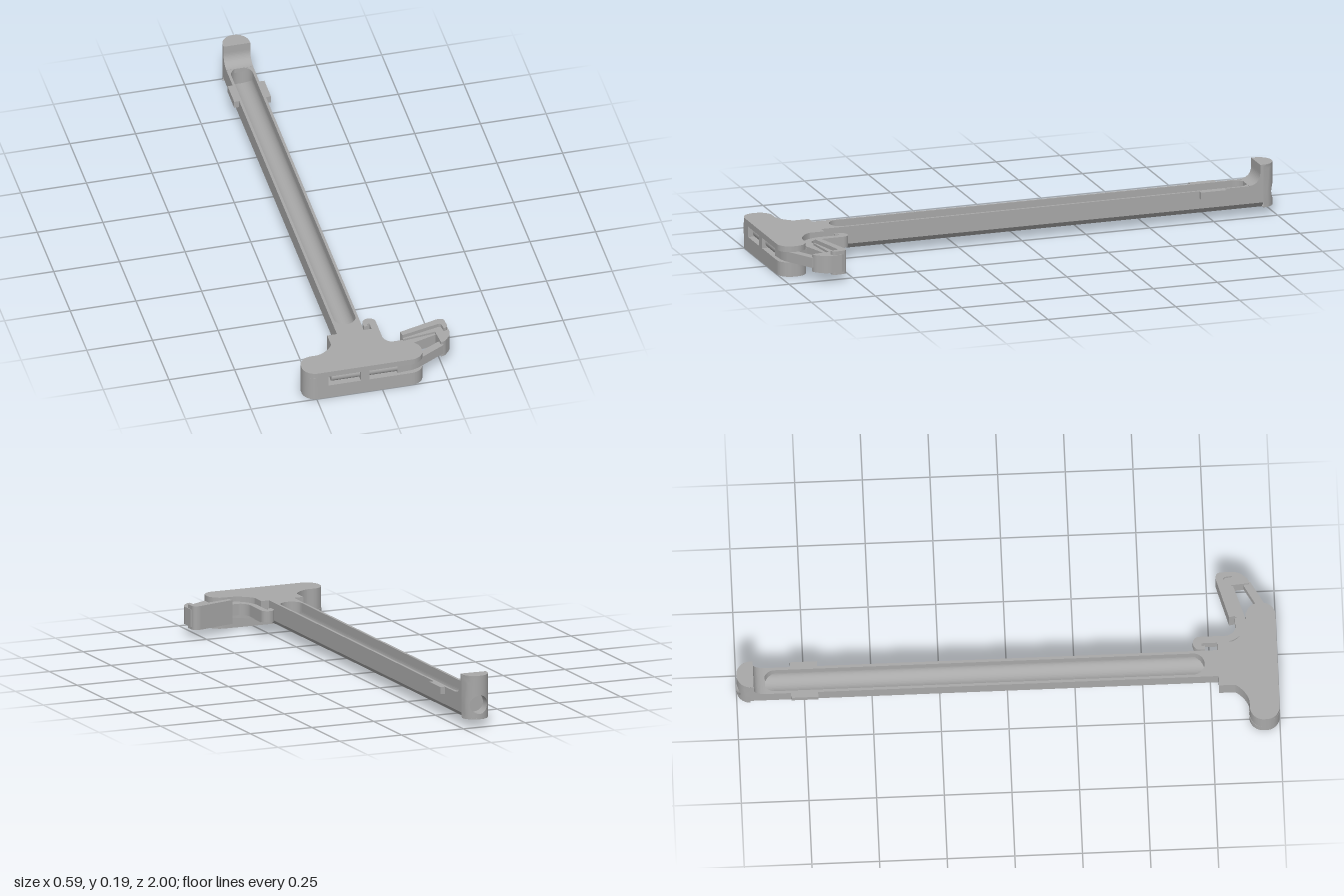
import * as THREE from 'three';

const CX = -0.067, HW = 0.051;          // shaft centre line and half width
const steel = new THREE.MeshStandardMaterial({ color: 0xa8a8a8, side: THREE.DoubleSide });
steel.name = 'grey metal';

// Closed outline from [x, y, cornerRadius] points
function rounded(pts) {
  const s = new THREE.Shape(), n = pts.length;
  pts.forEach(([x, y, r = 0], i) => {
    const toward = (q, d) => {
      const l = Math.hypot(q[0] - x, q[1] - y), t = Math.min(d, l * 0.5) / l;
      return [x + (q[0] - x) * t, y + (q[1] - y) * t];
    };
    const prev = pts[(i + n - 1) % n], next = pts[(i + 1) % n];
    const a = toward(prev, r), b = toward(next, r);
    if (i) s.lineTo(...a); else s.moveTo(...a);
    if (r) s.bezierCurveTo(...toward(prev, r * 0.45), ...toward(next, r * 0.45), ...b);
  });
  s.closePath();
  return s;
}
const extrude = (shape, depth) =>
  new THREE.ExtrudeGeometry(shape, { depth, bevelEnabled: false, curveSegments: 14 });

// Plan outline in [x, z, radius], raised from y0 to y1
const plan = (pts, y0, y1) =>
  extrude(rounded(pts.map(([x, z, r]) => [x, -z, r])), y1 - y0).rotateX(-Math.PI / 2).translate(0, y0, 0);

export function createModel() {
  const model = new THREE.Group();
  const add = (name, geometry) => {
    const m = new THREE.Mesh(geometry, steel);
    m.name = name;
    model.add(m);
    return m;
  };

  // Shaft: chamfered bar, with a round-bottomed trough along the middle stretch
  const R = 0.041, T0 = -0.9, T1 = 0.73, top = 0.117, low = 0.03;
  const lower = [[-HW, 0.05], [-HW + 0.018, low], [HW - 0.018, low], [HW, 0.05], [HW, top]];
  const section = trough => {
    const s = new THREE.Shape();
    [[-HW, top], ...lower].forEach(([x, y], i) => (i ? s.lineTo(x, y) : s.moveTo(x, y)));
    if (trough) {
      s.lineTo(R, top);
      s.lineTo(R, 0.085);
      s.absarc(0, 0.085, R, 0, Math.PI, true);
      s.lineTo(-R, top);
    }
    s.closePath();
    return s;
  };
  [['shaftRear', -0.95, T0, false], ['shaftTrough', T0, T1, true], ['shaftFront', T1, 0.9, false]]
    .forEach(([name, z0, z1, t]) => add(name, extrude(section(t), z1 - z0).translate(CX, 0, z0)));

  // Rounded trough ends
  [[T0, 1], [T1, -1]].forEach(([z, d]) => {
    const s = new THREE.Shape();
    s.moveTo(R, 0);
    s.lineTo(R, R);
    s.lineTo(-R, R);
    s.lineTo(-R, 0);
    s.absarc(0, 0, R, Math.PI, 0, true);
    const g = extrude(s, top - 0.045).rotateX(-Math.PI / 2);
    if (d < 0) g.rotateY(Math.PI);
    add('troughEnd', g.translate(CX, 0.045, z + d * R));
  });

  // Side guide tabs
  const tabs = new THREE.BoxGeometry(0.024, 0.027, 0.1);
  for (const s of [-1, 1]) add('guideTab', tabs.clone().translate(CX + s * 0.058, 0.1035, -0.75));

  // Upright at the far end with a concave front
  const up = new THREE.Shape();
  up.moveTo(0.95, 0.1);
  up.lineTo(0.895, 0.1);
  up.lineTo(0.895, 0.118);
  up.bezierCurveTo(0.92, 0.12, 0.938, 0.135, 0.938, 0.165);
  up.lineTo(0.938, 0.195);
  up.lineTo(0.95, 0.195);
  up.closePath();
  add('upright', extrude(up, 2 * HW).rotateY(Math.PI / 2).translate(CX - HW, 0, 0));

  // Half-round back, pierced by a bore: rings run from the bore to the outer edge
  const boreY = 0.085, boreR = 0.035;
  const backZ = x => -0.95 - Math.sqrt(Math.max(0, 0.05 ** 2 - (x * 0.05 / HW) ** 2));
  const back = new THREE.PlaneGeometry(1, 1, 96, 6);
  const p = back.attributes.position;
  for (let i = 0; i < p.count; i++) {
    const a = -(p.getX(i) + 0.5) * Math.PI * 2, v = p.getY(i) + 0.5;
    const c = Math.cos(a), s = Math.sin(a);
    const reach = Math.min(HW / Math.max(Math.abs(c), 1e-6),
      (s > 0 ? 0.195 - boreY : boreY - low) / Math.max(Math.abs(s), 1e-6));
    const r = boreR + (reach - boreR) * v;
    p.setXYZ(i, CX + c * r, boreY + s * r, backZ(c * r));
  }
  back.computeVertexNormals();
  // Face the surface toward -z
  if (back.attributes.normal.getZ(300) > 0) {
    const ix = back.index;
    for (let i = 0; i < ix.count; i += 3) {
      const t = ix.getX(i);
      ix.setX(i, ix.getX(i + 1));
      ix.setX(i + 1, t);
    }
    back.computeVertexNormals();
  }
  add('roundedBack', back);
  const bore = new THREE.CylinderGeometry(boreR, boreR, 1, 96, 1, true).rotateX(Math.PI / 2);
  const b = bore.attributes.position;
  for (let i = 0; i < b.count; i++) b.setZ(i, b.getZ(i) > 0 ? -0.95 : backZ(b.getX(i)));
  add('bore', bore.translate(CX, boreY, 0));
  for (const y of [low, 0.192]) {
    const half = new THREE.Shape();
    half.absarc(0, 0, 0.0505, 0, Math.PI, false);
    add('backCap', extrude(half, 0.003).rotateX(-Math.PI / 2).translate(CX, y, -0.95));
  }

  // Cross handle: full plates above and below a slotted middle layer
  const rear = [[0.163, 0.89, 0.05], [0.016, 0.89, 0.09], [0.016, 0.78], [-0.155, 0.78],
    [-0.155, 0.89, 0.09], [-0.295, 0.89, 0.05]];
  const head = [[-0.295, 1, 0.05], [0.163, 1, 0.05], ...rear];
  add('handleTop', plan(head, 0.095, top));
  add('handleBottom', plan(head, 0.036, 0.055));
  add('handleLip', plan([[-0.295, 1, 0.05], [0.163, 1, 0.05], [0.163, 0.888, 0.05], [-0.295, 0.888, 0.05]], 0, 0.036));
  add('handleMiddle', plan([[-0.295, 1, 0.05], [-0.205, 1], [-0.205, 0.95], [-0.082, 0.95], [-0.082, 1],
    [-0.05, 1], [-0.05, 0.95], [0.07, 0.95], [0.1, 0.905], [0.14, 0.89], ...rear.slice(1)], 0.055, 0.095));

  // Round rod seen through the two front windows
  add('windowRod', new THREE.CylinderGeometry(0.02, 0.02, 0.25, 32).rotateZ(Math.PI / 2).translate(-0.065, 0.075, 0.967));

  // Latch: hooked arm, slanted strut, thumb pad and tall finger wall
  add('latchHook', plan([[-0.004, 0.735], [-0.004, 0.69, 0.025], [0.046, 0.69, 0.025], [0.046, 0.85, 0.04],
    [0.11, 0.85], [0.25, 0.81], [0.25, 0.845], [0.1, 0.892], [0.06, 0.89, 0.03], [0.02, 0.83, 0.03],
    [0.02, 0.722], [0.01, 0.722], [0.01, 0.735]], 0.055, 0.098));
  add('latchStrut', plan([[0.06, 0.988], [0.13, 0.982, 0.02], [0.255, 0.912], [0.25, 0.885],
    [0.235, 0.89], [0.16, 0.932], [0.06, 0.945]], 0.056, 0.0945));
  add('latchPad', plan([[0.112, 0.832], [0.268, 0.788, 0.01], [0.29, 0.8, 0.01], [0.293, 0.868, 0.02],
    [0.262, 0.905, 0.01], [0.246, 0.908], [0.24, 0.84], [0.115, 0.856]], 0.04, 0.106));
  add('latchFingerWall', plan([[0.11, 0.828], [0.268, 0.783, 0.012], [0.286, 0.79, 0.01], [0.289, 0.84, 0.01],
    [0.272, 0.845], [0.268, 0.812, 0.01], [0.114, 0.85]], 0.03, 0.12));

  return model;
}
